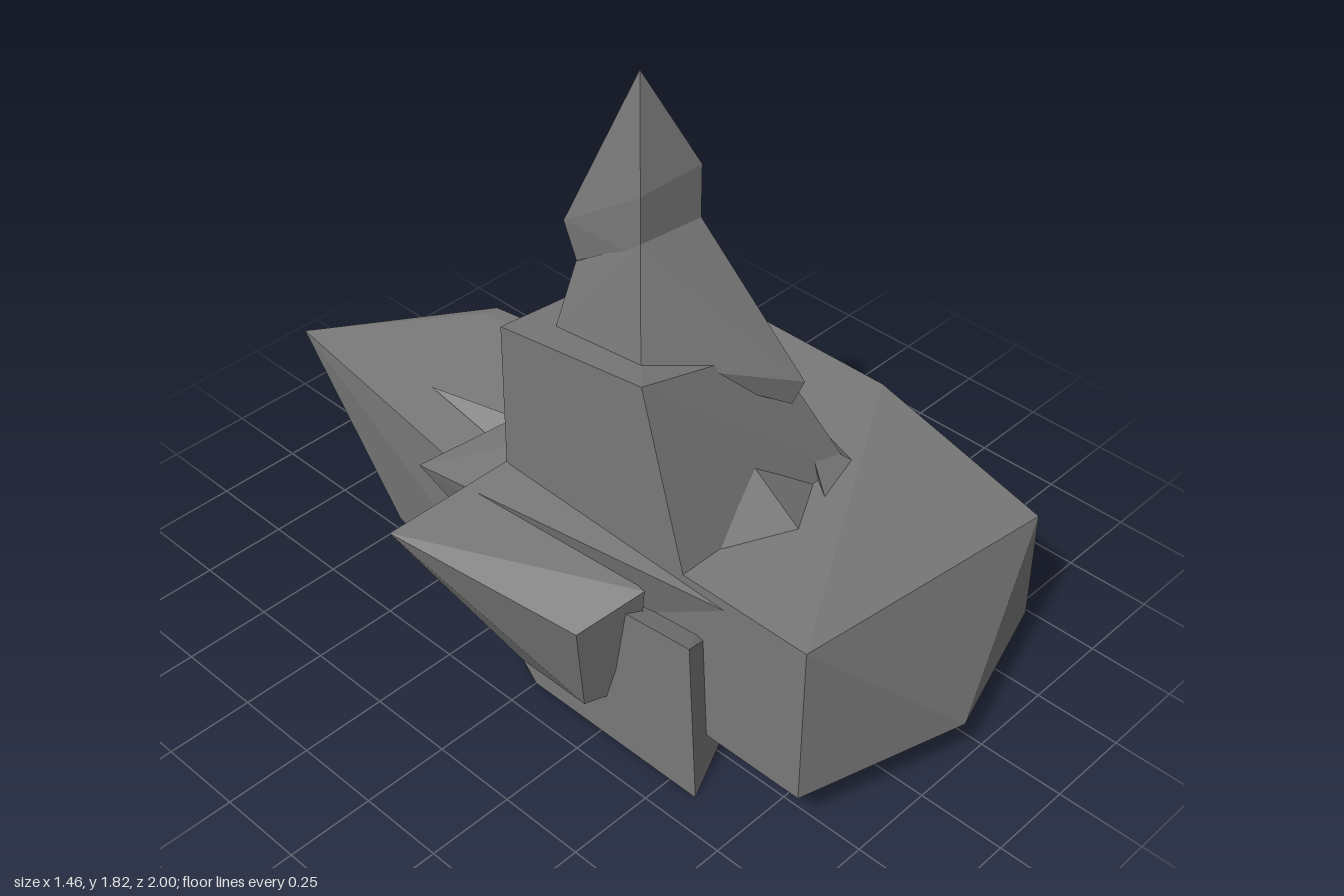
import * as THREE from 'three';
import { ConvexGeometry } from 'three/addons/geometries/ConvexGeometry.js';

export function createModel() {
  const group = new THREE.Group();
  const stone = new THREE.MeshStandardMaterial({ color: 0x7a7a7a });
  stone.name = 'grey stone';

  // Each rock is a faceted solid spanned by its corner points [x, y, z].
  function rock(name, corners) {
    const points = corners.map((c) => new THREE.Vector3(...c));
    const mesh = new THREE.Mesh(new ConvexGeometry(points), stone);
    mesh.name = name;
    group.add(mesh);
  }

  // Wide base boulder with a sloping front lip
  rock('baseBoulder', [
    [-0.33, 0.14, 0.86], [0.16, 0.14, 1.0], [0.61, 0.14, 0.86], [0.73, 0.14, 0.32],
    [0.61, 0.14, -0.17], [0.3, 0.14, -0.29], [-0.33, 0.14, -0.17],
    [-0.33, 0.63, 0.86], [0.2, 0.52, 0.86], [0.61, 0.48, 0.86], [0.61, 0.63, 0.32],
    [0.61, 0.63, -0.17], [-0.33, 0.63, -0.17],
  ]);

  // Rear boulder with an overhanging corner
  rock('rearBoulder', [
    [-0.33, 0.63, -1.0], [0.1, 0.6, -0.74], [0.16, 0.59, -0.74], [0.16, 0.14, -0.735],
    [-0.32, 0.14, -0.65], [-0.38, 0.56, -0.3], [0.28, 0.55, -0.27],
    [0.3, 0.14, -0.29], [-0.4, 0.14, 0],
  ]);

  // Keel rock that carries the formation
  rock('keelRock', [
    [-0.41, 0, 0.59], [-0.41, 0, 0], [-0.41, 0.5, 0.56], [-0.41, 0.45, 0.1],
    [0.25, 0.14, 0.33], [-0.2, 0.14, -0.64], [0.1, 0.14, -0.64], [0, 0.3, 0.3],
  ]);

  // Pointed rock on the right flank
  rock('sideOutcrop', [
    [-0.73, 0.63, -0.17], [-0.33, 0.63, -0.17], [-0.56, 0.49, 0.32], [-0.36, 0.53, 0.36],
    [-0.56, 0.4, 0.1], [-0.47, 0.14, 0.02], [-0.47, 0.14, 0.25], [-0.4, 0.21, -0.18],
    [-0.33, 0.14, 0.3],
  ]);

  // Tilted ledge across the back
  rock('backLedge', [
    [-0.5, 0.63, -0.32], [0.48, 0.59, -0.26], [0.36, 0.62, 0.1], [-0.33, 0.6, 0.6],
    [-0.38, 0.35, -0.15], [-0.33, 0.4, 0.3], [0.25, 0.4, -0.2],
  ]);

  // Middle block
  rock('middleBlock', [
    [-0.33, 1.13, 0.32], [-0.33, 1.06, -0.17], [0.16, 1.01, -0.17], [0.13, 1.0, 0.32],
    [-0.33, 0.6, 0.47], [0.3, 0.6, 0.47], [0.28, 0.6, -0.17], [-0.33, 0.6, -0.17],
  ]);

  // Spire: flared foot with a forward spur, then a crooked tip
  rock('spireFoot', [
    [-0.19, 1.4, 0.18], [0.02, 1.38, 0.18], [0.03, 1.25, -0.04], [-0.19, 1.25, -0.04],
    [-0.25, 1.11, 0.24], [-0.07, 1.0, 0.3], [0.14, 0.95, 0.43], [0.13, 0.87, 0.4],
    [0.1, 1.02, -0.06], [-0.24, 1.05, -0.07],
  ]);
  rock('spireTip', [
    [-0.13, 1.82, 0.12], [-0.19, 1.53, 0.18], [0.02, 1.53, 0.18], [0.05, 1.36, -0.07],
    [-0.2, 1.36, -0.07], [-0.19, 1.36, 0.18], [0.02, 1.36, 0.18],
    [0.02, 1.2, -0.03], [-0.18, 1.2, -0.03],
  ]);

  // Small shards and rubble around the middle block
  const shards = [
    [[-0.03, 0.77, 0.42], [-0.22, 0.61, 0.47], [0.18, 0.61, 0.47], [0, 0.61, 0.57]],
    [[0.2, 0.86, 0.1], [0.4, 0.62, 0.1], [0.28, 0.61, 0.4], [0.28, 0.61, -0.15]],
    [[0, 0.78, -0.15], [-0.2, 0.61, -0.18], [0.22, 0.61, -0.23], [0, 0.61, -0.37]],
    [[0.3, 0.63, 0.47], [0.13, 0.62, 0.53], [0.42, 0.62, 0.12], [0.2, 0.72, 0.4]],
    [[-0.23, 0.6, -0.58], [-0.24, 0.56, -0.3], [-0.12, 0.56, -0.3], [-0.18, 0.62, -0.3]],
  ];
  shards.forEach((corners, i) => rock('shard' + (i + 1), corners));

  return group;
}
